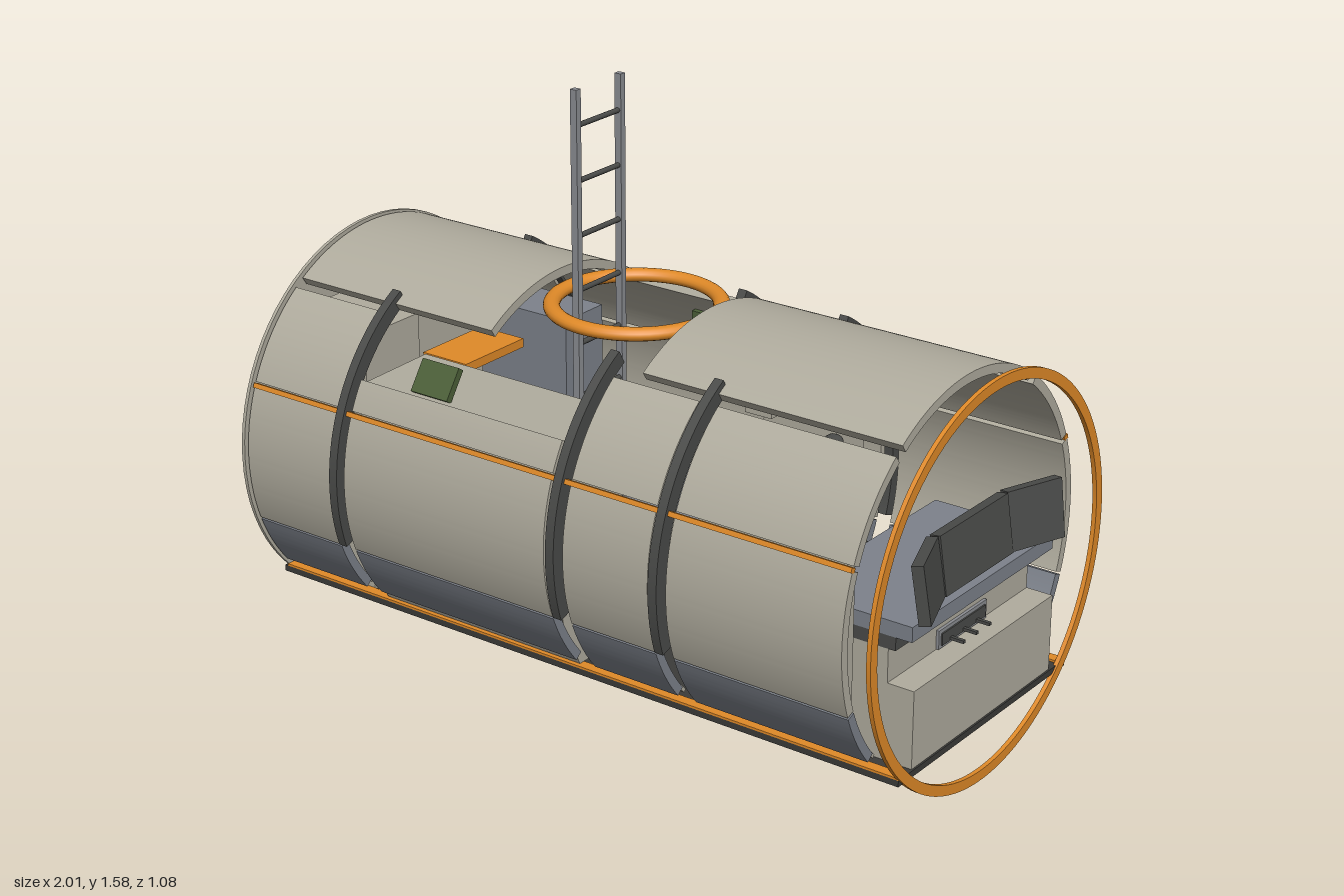
import * as THREE from 'three';
import { toCreasedNormals } from 'three/addons/utils/BufferGeometryUtils.js';
import { RoundedBoxGeometry } from 'three/addons/geometries/RoundedBoxGeometry.js';

const mat = (name, color) => Object.assign(new THREE.MeshStandardMaterial({ color }), { name });
const CY = 0.54;
const rad = THREE.MathUtils.degToRad;

export function createModel() {
  const beige = mat('warm beige', 0xb0ac9e);
  const slate = mat('slate grey', 0x7d828b);
  const dark = mat('charcoal', 0x4a4b49);
  const orange = mat('orange', 0xe08a28);
  const steel = mat('steel', 0x8b8d92);
  const green = mat('olive green', 0x4c6038);
  const red = mat('red', 0xd03a2c);
  const pale = mat('pale grey', 0xdcdce0);
  const black = mat('floor black', 0x3b3b39);

  const group = new THREE.Group();
  const add = (name, geo, m, x = 0, y = 0, z = 0) => {
    const mesh = new THREE.Mesh(geo, m);
    mesh.name = name;
    mesh.position.set(x, y, z);
    group.add(mesh);
    return mesh;
  };
  // Box given by its limits along each axis
  const box = (name, m, x0, x1, y0, y1, z0, z1) =>
    add(name, new THREE.BoxGeometry(x1 - x0, y1 - y0, z1 - z0), m, (x0 + x1) / 2, (y0 + y1) / 2, (z0 + z1) / 2);
  // Profile in (-z, y) extruded along x
  const alongX = (name, shape, m, x0, x1, y = 0) => {
    const geo = new THREE.ExtrudeGeometry(shape, { depth: x1 - x0, bevelEnabled: false, curveSegments: 20 });
    geo.rotateY(Math.PI / 2);
    return add(name, toCreasedNormals(geo, 0.5), m, x0, y, 0);
  };
  // Curved plate between two angles; side 1 is the front, -1 the back
  const arc = (name, m, x0, x1, a0, a1, r0, r1, side = 1) => {
    const s = side > 0 ? Math.PI - rad(a1) : rad(a0);
    const e = side > 0 ? Math.PI - rad(a0) : rad(a1);
    const shape = new THREE.Shape();
    shape.absarc(0, 0, r1, s, e, false);
    shape.absarc(0, 0, r0, e, s, true);
    return alongX(name, shape, m, x0, x1, CY);
  };

  // Floor slab with orange edge rails
  box('floor', black, -1, 0.98, 0.155, 0.172, -0.39, 0.39);
  for (const s of [1, -1]) box('floorRail', orange, -0.99, 0.98, 0.172, 0.178, s * 0.375 - 0.015, s * 0.375 + 0.015);

  // Closed end wall and open end ring
  const wall = add('endWall', new THREE.CylinderGeometry(0.53, 0.53, 0.01, 72), beige, -0.994, CY, 0);
  wall.rotation.z = Math.PI / 2;
  const ring = new THREE.Shape().absarc(0, 0, 0.534, 0, Math.PI * 2, false);
  ring.holes.push(new THREE.Path().absarc(0, 0, 0.506, 0, Math.PI * 2, true));
  const ringGeo = new THREE.ExtrudeGeometry(ring, { depth: 0.012, bevelEnabled: false, curveSegments: 64 });
  ringGeo.rotateY(Math.PI / 2);
  add('endRing', toCreasedNormals(ringGeo, 0.5), orange, 0.973, CY, 0);

  // Side panels in four bays on both sides
  const bays = [[-0.98, -0.69], [-0.64, 0.02], [0.08, 0.34], [0.395, 0.9]];
  for (const side of [1, -1]) {
    bays.forEach(([x0, x1], i) => {
      const top = side > 0 && i === 1 ? 32.2 : 53;
      arc('upperPanel', beige, x0, x1, 23, top, 0.5, 0.525, side);
      arc('middlePanel', beige, x0, x1, -20.3, 21.5, 0.5, 0.525, side);
      arc('lowerPanel', slate, x0, x1, -40.4, -21, 0.5, 0.525, side);
      arc('lowerLiner', beige, x0 + 0.02, x1 - 0.02, -46, -38, 0.49, 0.5, side);
    });
    // Dark ribs and orange stripe
    for (const x of [-0.665, 0.05, 0.365]) arc('rib', dark, x - 0.013, x + 0.013, -18.5, 60, 0.5, 0.54, side);
    arc('sideStripe', orange, -0.98, 0.9, 21.2, 22.6, 0.515, 0.531, side);
  }

  // Roof panels on either side of the hatch
  arc('rearRoof', beige, -0.98, -0.33, 56.5, 123.5, 0.5, 0.525);
  arc('foreRoof', beige, 0.15, 0.9, 56.5, 123.5, 0.5, 0.525);

  // Hatch ring
  const hatch = add('hatchRing', new THREE.TorusGeometry(0.217, 0.022, 16, 64), orange, -0.09, 1.018, 0);
  hatch.rotation.x = Math.PI / 2;
  hatch.scale.z = 0.8;

  // Ladder
  for (const z of [0.09, -0.09]) box('ladderRail', steel, -0.22, -0.2, 0.172, 1.585, z - 0.009, z + 0.009);
  for (let y = 0.325; y < 1.55; y += 0.1455) {
    const rung = add('ladderRung', new THREE.CylinderGeometry(0.007, 0.007, 0.18, 12), dark, -0.21, y, 0);
    rung.rotation.x = Math.PI / 2;
  }

  // Side locker below the open bay, with small cases
  const locker = new THREE.Shape([[0.2, 0.18], [0.38, 0.18], [0.44, 0.3], [0.485, 0.5], [0.445, 0.81], [0.2, 0.815]]
    .map(([z, y]) => new THREE.Vector2(-z, y)));
  alongX('sideLocker', locker, beige, -0.635, 0.015);
  const greenCase = add('greenCase', new THREE.BoxGeometry(0.12, 0.09, 0.02), green, -0.43, 0.85, 0.39);
  greenCase.rotation.x = -0.6;
  box('greenCase', green, -0.18, -0.05, 0.8, 0.87, -0.39, -0.36);
  box('greenCase', green, 0.5, 0.6, 0.375, 0.4, 0.32, 0.39);

  // Interior fittings
  box('floorPlate', pale, -0.24, 0.1, 0.174, 0.182, -0.08, 0.18);
  box('tallCabinet', beige, -0.97, -0.7, 0.172, 0.9, 0.15, 0.36);
  box('wallUnit', slate, -0.8, -0.5, 0.4, 0.81, -0.38, -0.22);
  box('sideUnit', beige, 0.1, 0.33, 0.4, 0.75, -0.43, -0.3);
  box('sideBoard', beige, 0.42, 0.85, 0.32, 0.75, 0.4, 0.43);
  box('orangeShelf', orange, -0.75, -0.6, 0.73, 0.755, -0.16, 0.08);
  box('ceilingUnit', beige, 0.3, 0.38, 0.84, 1.03, -0.07, 0.07);

  // Seats
  for (const z of [0.19, -0.19]) {
    add('seatCushion', new RoundedBoxGeometry(0.22, 0.06, 0.2, 3, 0.02), dark, 0.46, 0.37, z);
    add('seatBack', new RoundedBoxGeometry(0.05, 0.3, 0.18, 3, 0.02), dark, 0.35, 0.53, z);
    add('seatPost', new THREE.CylinderGeometry(0.02, 0.03, 0.18, 16), steel, 0.46, 0.26, z);
  }
  add('headrest', new RoundedBoxGeometry(0.05, 0.07, 0.135, 3, 0.015), dark, 0.35, 0.75, 0.19);
  const sidePad = add('sidePad', new RoundedBoxGeometry(0.05, 0.24, 0.08, 3, 0.015), dark, 0.7, 0.35, -0.37);
  sidePad.rotation.x = 0.15;

  // Extinguisher poking out at the back
  const bottle = add('extinguisher', new THREE.CapsuleGeometry(0.026, 0.14, 6, 20), red, 0.43, 0.2, -0.395);
  bottle.rotation.x = Math.PI / 2;

  // Control desk at the open end
  box('deskBase', beige, 0.78, 0.975, 0.172, 0.38, -0.32, 0.325);
  box('deskUpper', beige, 0.68, 0.9, 0.38, 0.47, -0.32, 0.325);
  box('deskTrim', dark, 0.64, 0.92, 0.47, 0.505, -0.325, 0.325);
  box('deskTop', slate, 0.62, 0.965, 0.505, 0.545, -0.325, 0.325);
  box('deskRecess', steel, 0.9, 0.908, 0.382, 0.432, -0.11, 0.11);
  box('deskRecessInset', dark, 0.905, 0.912, 0.39, 0.422, -0.1, 0.1);
  for (const z of [-0.06, 0, 0.06]) box('deskHook', dark, 0.9, 0.95, 0.392, 0.4, z - 0.005, z + 0.005);

  // Three angled monitors
  for (const s of [-1, 0, 1]) {
    const screen = add('monitor', new THREE.BoxGeometry(0.03, 0.155, s ? 0.17 : 0.31), dark, s ? 0.952 : 0.925, 0.628, s * 0.24);
    screen.rotation.order = 'YZX';
    screen.rotation.set(0, s * 0.36, 0.15);
  }
  box('monitorStand', steel, 0.88, 0.92, 0.54, 0.6, -0.05, 0.05);

  return group;
}
